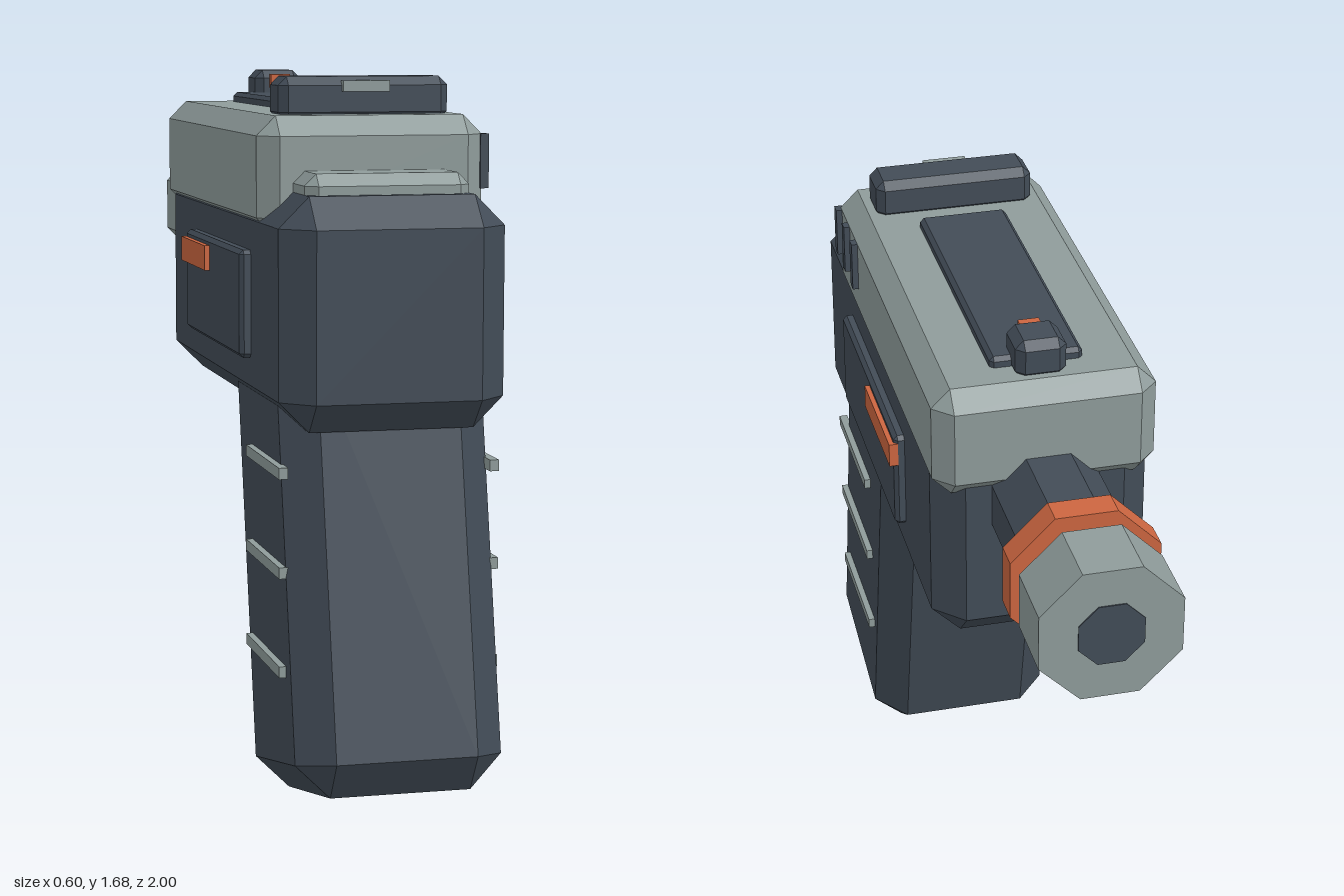
import * as THREE from 'three';
import { ConvexGeometry } from 'three/addons/geometries/ConvexGeometry.js';

const material = (name, color) => {
  const m = new THREE.MeshStandardMaterial({ color });
  m.name = name;
  return m;
};

// Box given by its limits, with every edge and corner cut by c
function chamferBox([x0, x1], [y0, y1], [z0, z1], c) {
  const h = [(x1 - x0) / 2, (y1 - y0) / 2, (z1 - z0) / 2];
  const points = [];
  for (const sx of [-1, 1]) for (const sy of [-1, 1]) for (const sz of [-1, 1]) {
    for (let axis = 0; axis < 3; axis++) {
      const p = h.map((v, i) => (i === axis ? v : v - c));
      points.push(new THREE.Vector3(p[0] * sx, p[1] * sy, p[2] * sz));
    }
  }
  return new ConvexGeometry(points).translate((x0 + x1) / 2, (y0 + y1) / 2, (z0 + z1) / 2);
}

function plainBox([x0, x1], [y0, y1], [z0, z1]) {
  return new THREE.BoxGeometry(x1 - x0, y1 - y0, z1 - z0)
    .translate((x0 + x1) / 2, (y0 + y1) / 2, (z0 + z1) / 2);
}

// Flat-sided octagonal prism along z; size is half the width across flats
function octagon(size, z0, z1) {
  const r = size / Math.cos(Math.PI / 8);
  const g = new THREE.CylinderGeometry(r, r, z1 - z0, 8)
    .rotateY(Math.PI / 8).rotateX(Math.PI / 2)
    .translate(0, 1.29, (z0 + z1) / 2).toNonIndexed();
  g.computeVertexNormals();
  return g;
}

export function createModel() {
  const model = new THREE.Group();
  model.name = 'toyBlaster';
  const dark = material('dark slate', 0x424c57);
  const grey = material('light grey', 0x8f9c9b);
  const orange = material('orange', 0xcc6640);

  const add = (name, geometry, mat) => {
    const mesh = new THREE.Mesh(geometry, mat);
    mesh.name = name;
    model.add(mesh);
    return mesh;
  };

  // Main housing, upper slide and the step behind it
  add('body', chamferBox([-0.26, 0.26], [0.905, 1.43], [-0.43, 0.92], 0.07), dark);
  add('slide', chamferBox([-0.265, 0.265], [1.325, 1.6], [-0.455, 0.695], 0.045), grey);
  add('rearStep', chamferBox([-0.19, 0.19], [1.36, 1.477], [0.6, 0.83], 0.027), grey);

  // Raked grip
  const grip = add('grip', chamferBox([-0.24, 0.24], [-0.525, 0.525], [-0.286, 0.286], 0.077), dark);
  grip.position.set(0, 0.561, 0.627);
  grip.rotation.x = -0.21;

  // Top rib and sights
  add('topRib', chamferBox([-0.11, 0.11], [1.59, 1.625], [-0.34, 0.41], 0.01), dark);
  add('rearSight', chamferBox([-0.2, 0.2], [1.585, 1.686], [0.485, 0.607], 0.02), dark);
  add('rearSightMark', plainBox([-0.055, 0.055], [1.652, 1.677], [0.6, 0.62]), grey);
  add('frontSight', chamferBox([-0.06, 0.06], [1.585, 1.682], [-0.395, -0.275], 0.02), dark);
  add('frontSightMark', plainBox([-0.025, 0.025], [1.638, 1.672], [-0.28, -0.258]), orange);

  // Barrel, collar and muzzle
  add('barrel', octagon(0.128, -0.84, -0.4), dark);
  add('collar', octagon(0.173, -0.785, -0.717), orange);
  add('muzzle', octagon(0.163, -0.997, -0.825), grey);
  add('bore', octagon(0.075, -1, -0.992), dark);

  // Side panels, stripes and grip ridges on both sides
  for (const [side, s] of [['left', 1], ['right', -1]]) {
    const span = (a, b) => (s > 0 ? [a, b] : [-b, -a]);
    add(side + 'Panel', chamferBox(span(0.245, 0.286), [1.04, 1.29], [-0.08, 0.567], 0.01), dark);
    add(side + 'Stripe', plainBox(span(0.27, 0.298), [1.212, 1.272], [-0.08, 0.217]), orange);
    for (const y of [0.36, 0.587, 0.813]) {
      add(side + 'GripRidge', plainBox(span(0.235, 0.256), [y - 0.013, y + 0.013], [0.488, 0.837]), grey);
    }
  }

  // Slide serrations on the left side only
  for (const z of [0.447, 0.547, 0.647]) {
    add('serration', plainBox([0.26, 0.28], [1.43, 1.555], [z - 0.014, z + 0.014]), dark);
  }

  return model;
}
